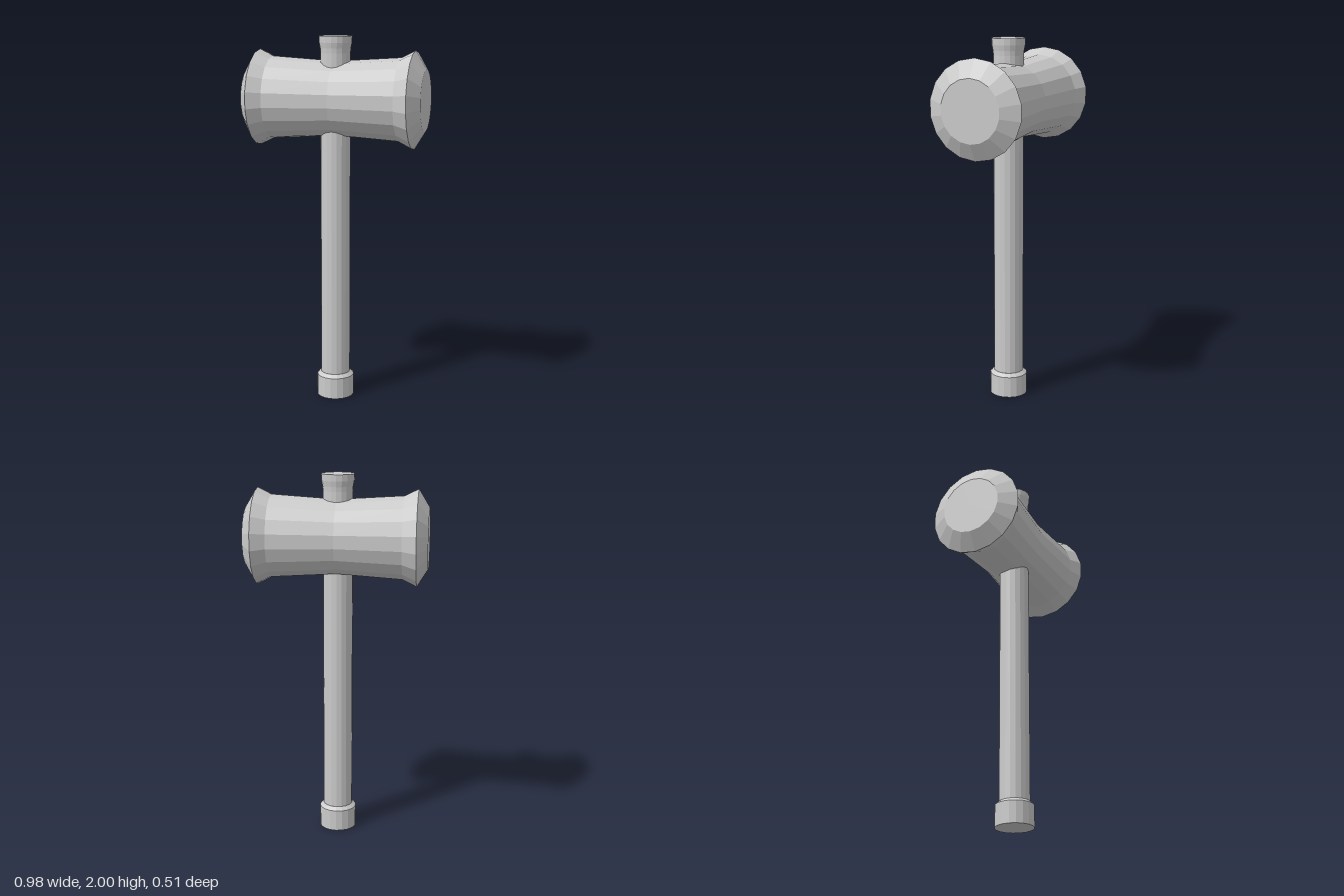
import * as THREE from 'three';

const SIDES = 18;
const material = new THREE.MeshStandardMaterial({ color: 0xcccccc, flatShading: true });

// Faceted solid of revolution from [radius, height] pairs, listed bottom to top
function turned(name, profile) {
  const points = profile.map(([r, y]) => new THREE.Vector2(r, y));
  const mesh = new THREE.Mesh(new THREE.LatheGeometry(points, SIDES), material);
  mesh.name = name;
  return mesh;
}

export function createModel() {
  const model = new THREE.Group();
  model.name = 'mallet';

  // Waisted head with flared rims and bevelled striking faces, lying along x
  const half = [[0, 0.488], [0.165, 0.488], [0.26, 0.43], [0.223, 0.355]];
  const head = turned('head', [
    ...half.map(([r, y]) => [r, -y]),
    [0.2, 0],
    ...half.slice().reverse(),
  ]);
  head.geometry.rotateY(Math.PI / 2).rotateZ(-Math.PI / 2);
  head.position.y = 1.666;
  model.add(head);

  // Handle assembly, set slightly forward of the head's axis
  const handle = new THREE.Group();
  handle.name = 'handle';
  handle.position.z = 0.02;
  handle.scale.x = 0.98;
  handle.add(
    turned('shaft', [[0.082, 0.1], [0.082, 1.93]]),
    // Butt cap with a chamfered shoulder
    turned('buttCap', [[0, 0], [0.104, 0], [0.104, 0.118], [0.083, 0.136], [0, 0.136]]),
    // Flared knob above the head
    turned('topKnob', [[0.082, 1.91], [0.084, 1.935], [0.09, 1.965], [0.091, 2], [0, 2]]),
  );
  model.add(handle);

  return model;
}
